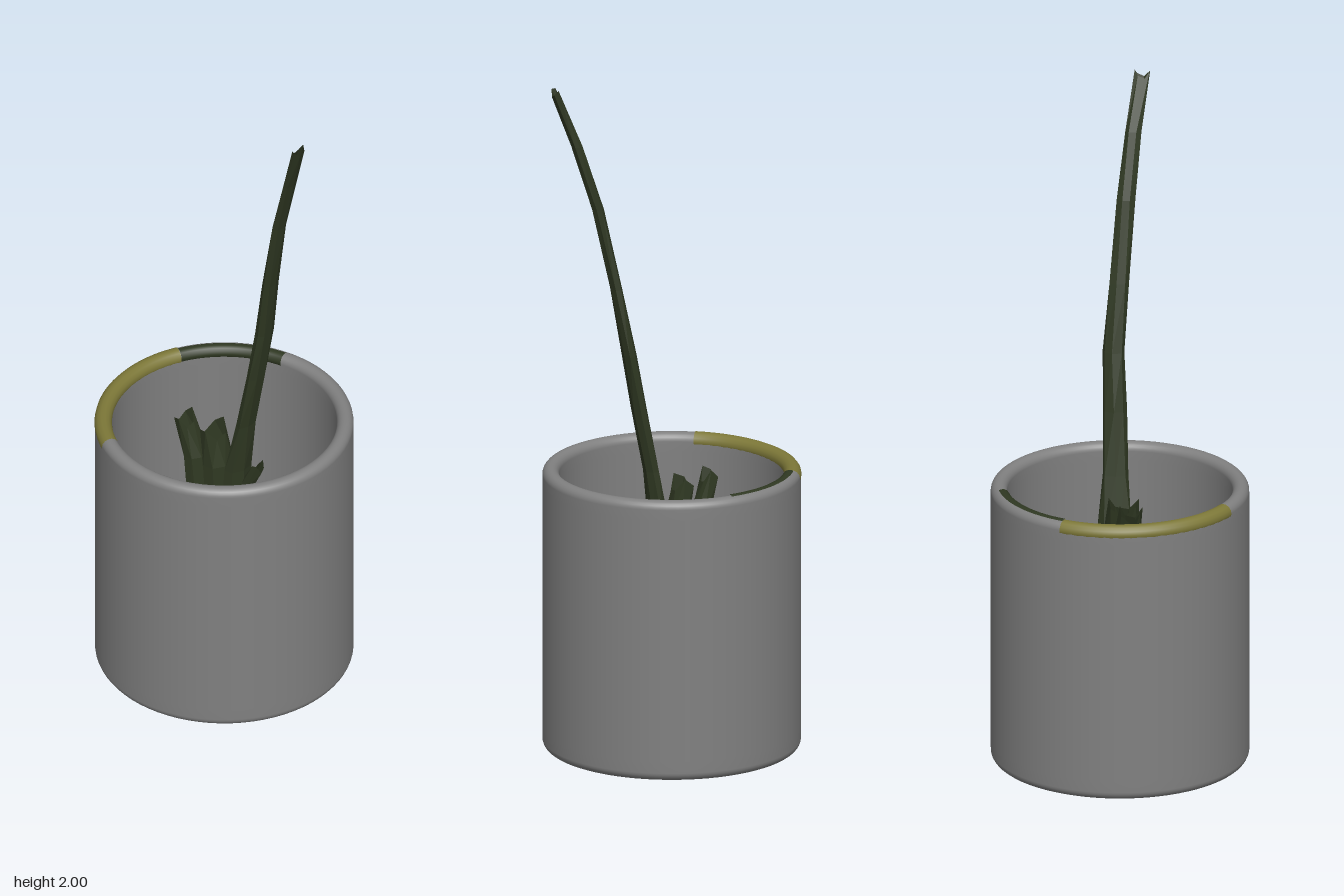
import * as THREE from 'three';

const clay = new THREE.MeshStandardMaterial({ color: 0x808080 });
clay.name = 'grey clay';
const ochre = new THREE.MeshStandardMaterial({ color: 0x7d7838 });
ochre.name = 'ochre glaze';
const bark = new THREE.MeshStandardMaterial({ color: 0x2f3822, side: THREE.DoubleSide, flatShading: true });
bark.name = 'dark green bark';
const moss = new THREE.MeshStandardMaterial({ color: 0x2f3822 });
moss.name = 'dark green glaze';

function part(name, geometry, material) {
  const mesh = new THREE.Mesh(geometry, material);
  mesh.name = name;
  return mesh;
}

// quarter-round points for a profile, angles in degrees
function fillet(cx, cy, r, from, to, steps = 6) {
  return Array.from({ length: steps + 1 }, (_, i) => {
    const a = THREE.MathUtils.degToRad(from + (to - from) * i / steps);
    return new THREE.Vector2(cx + r * Math.cos(a), cy + r * Math.sin(a));
  });
}

// open faceted stalk through sections [x, y, z, radius x, radius z], with a notched, slanted tip
function stalk(name, sections, notch, sides = 7) {
  const pos = [], index = [];
  sections.forEach(([x, y, z, rx, rz], j) => {
    const tip = j === sections.length - 1;
    for (let i = 0; i < sides; i++) {
      const a = i / sides * Math.PI * 2 + j * 0.12;
      const wobble = 1 + 0.08 * Math.sin(i * 2.3 + j * 1.7);
      const lift = tip ? notch * (Math.cos(2 * a + Math.PI) - 1) / 2 : 0;
      pos.push(x + rx * wobble * Math.cos(a), y + lift, z + rz * wobble * Math.sin(a));
      if (tip) continue;
      const p = j * sides + i, q = j * sides + (i + 1) % sides;
      index.push(p, p + sides, q, q, p + sides, q + sides);
    }
  });
  const g = new THREE.BufferGeometry();
  g.setAttribute('position', new THREE.Float32BufferAttribute(pos, 3));
  g.setIndex(index);
  g.computeVertexNormals();
  return part(name, g, bark);
}

// glaze bead lying along the rim, between two angles measured from +x towards +z
function rimArc(name, from, to, radius, tube, y, material) {
  const rad = THREE.MathUtils.degToRad;
  const g = new THREE.TorusGeometry(radius, tube, 14, 40, rad(to - from));
  g.rotateZ(rad(from)).rotateX(Math.PI / 2).translate(0, y, 0);
  return part(name, g, material);
}

export function createModel() {
  const group = new THREE.Group();
  group.name = 'plantPot';

  // pot: underside, outer wall, rounded rim, inner wall, floor
  const profile = [
    new THREE.Vector2(0, 0),
    new THREE.Vector2(0.34, 0),
    ...fillet(0.35, 0.025, 0.025, -90, 0),
    new THREE.Vector2(0.375, 0.06),
    new THREE.Vector2(0.375, 0.79),
    ...fillet(0.351, 0.821, 0.024, 0, 180, 12),
    new THREE.Vector2(0.327, 0.79),
    new THREE.Vector2(0.327, 0.10),
    ...fillet(0.302, 0.075, 0.025, 0, -90),
    new THREE.Vector2(0.29, 0.05),
    new THREE.Vector2(0, 0.05),
  ];
  group.add(part('pot', new THREE.LatheGeometry(profile, 72), clay));

  // coloured glaze on the rim
  group.add(rimArc('ochreRimGlaze', 119, 206, 0.351, 0.0255, 0.821, ochre));
  group.add(rimArc('greenRimGlaze', 206, 258.5, 0.346, 0.0215, 0.826, moss));

  // tall leaning stem
  group.add(stalk('tallStem', [
    [0.03, 0.05, 0.0, 0.045, 0.06],
    [0.03, 0.40, -0.005, 0.036, 0.055],
    [0.045, 0.68, -0.015, 0.03, 0.05],
    [0.07, 0.845, -0.017, 0.022, 0.038],
    [0.105, 1.03, -0.019, 0.021, 0.036],
    [0.136, 1.20, -0.022, 0.02, 0.033],
    [0.172, 1.40, -0.008, 0.018, 0.029],
    [0.222, 1.64, 0.01, 0.017, 0.026],
    [0.28, 1.83, 0.03, 0.015, 0.025],
    [0.335, 2.0, 0.055, 0.012, 0.024],
  ], 0.025));

  // cut stubs beside it
  group.add(stalk('outerStub', [
    [-0.06, 0.05, 0.01, 0.04, 0.045],
    [-0.075, 0.45, 0.015, 0.034, 0.042],
    [-0.09, 0.68, 0.02, 0.03, 0.04],
    [-0.125, 0.82, 0.035, 0.026, 0.034],
  ], 0.05));
  group.add(stalk('middleStub', [
    [-0.01, 0.05, 0.0, 0.045, 0.06],
    [-0.01, 0.45, 0.0, 0.04, 0.058],
    [-0.015, 0.68, 0.005, 0.036, 0.052],
    [-0.035, 0.81, 0.01, 0.033, 0.045],
  ], 0.05));

  // short sprout below the tall stem
  group.add(stalk('shortSprout', [
    [0.04, 0.45, -0.01, 0.025, 0.03],
    [0.07, 0.62, -0.02, 0.022, 0.025],
    [0.115, 0.72, -0.02, 0.016, 0.018],
  ], 0.03));

  return group;
}
